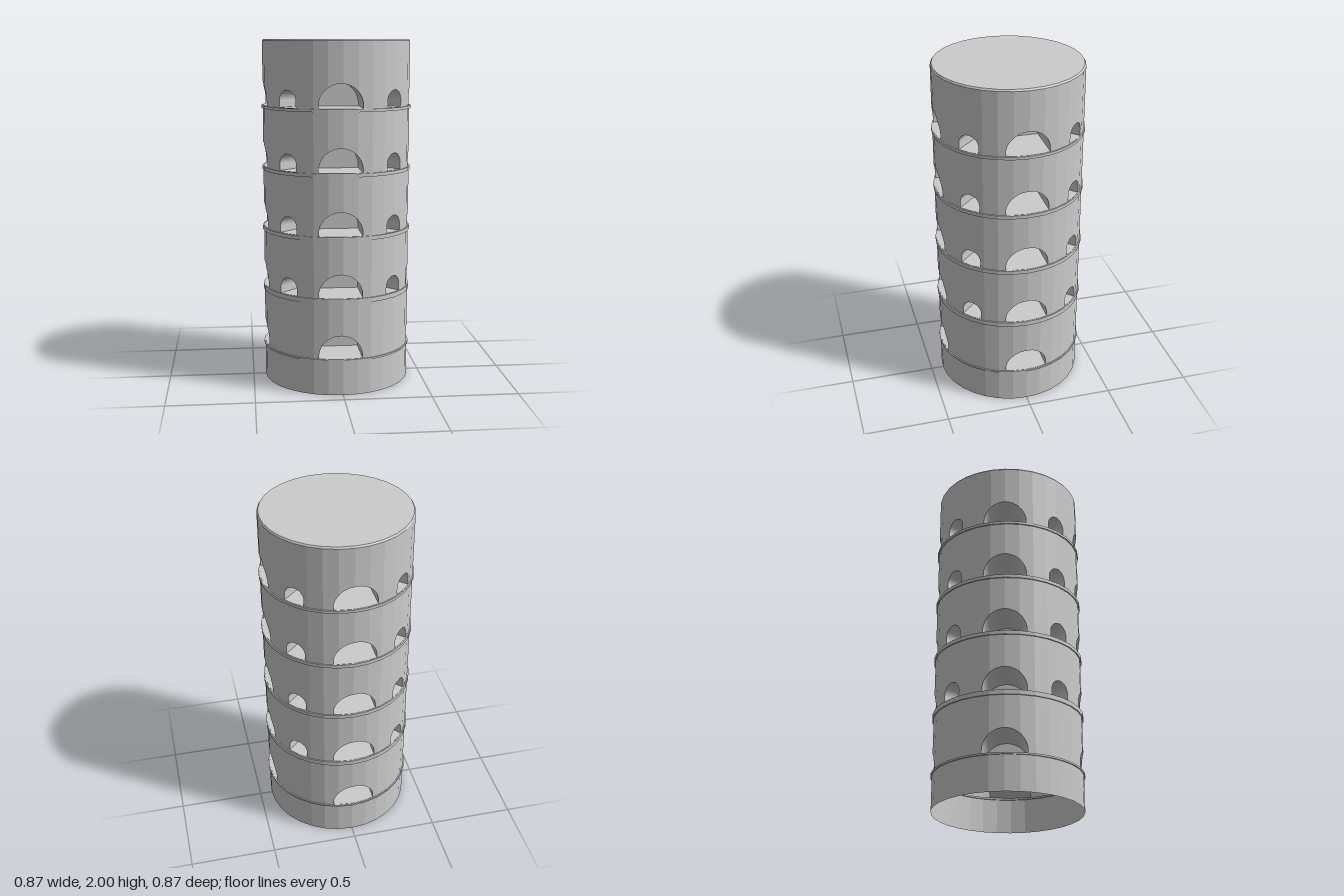
import * as THREE from 'three';

const SIDES = 32, STEP = (Math.PI * 2) / SIDES, R = 0.427, TOP = 1.99;
const FLOORS = [0.212, 0.565, 0.918, 1.272, 1.625];       // sill height of each storey
const RING_BOTTOMS = [0.2, 0.536, 0.894, 1.25, 1.607];
const WIDE = { r: 0.1235, rise: 0.013, depth: 0.17 };     // arch radius, straight jamb, inner end
const SMALL = { r: 0.061, rise: 0.036, depth: 0.25 };

const material = new THREE.MeshStandardMaterial({ color: 0xcccccc, flatShading: true, side: THREE.DoubleSide });

// Point on the 32-sided outline at an angle measured from +z towards +x
function outline(angle) {
  const local = ((angle % STEP) + STEP) % STEP - STEP / 2;
  const r = (R * Math.cos(STEP / 2)) / Math.cos(local);
  return { x: Math.sin(angle) * r, z: Math.cos(angle) * r };
}

// Sorted angles between two limits, including the corners of the outline
function withCorners(angles) {
  const from = angles[0], to = angles[angles.length - 1];
  const all = [...angles];
  for (let k = Math.ceil(from / STEP); k * STEP < to; k++) all.push(k * STEP);
  all.sort((a, b) => a - b);
  return all.filter((a, i) => i === 0 || a - all[i - 1] > 1e-5);
}

function quadMesh(name, quads) {
  const pos = [];
  for (const [a, b, c, d] of quads) for (const p of [a, b, c, a, c, d]) pos.push(...p);
  const geo = new THREE.BufferGeometry();
  geo.setAttribute('position', new THREE.Float32BufferAttribute(pos, 3));
  geo.computeVertexNormals();
  const mesh = new THREE.Mesh(geo, material);
  mesh.name = name;
  return mesh;
}

// Columns across one arch: wall point, matching inner point and opening height
function archColumns(kind, centre, shift) {
  const tx = Math.cos(centre), tz = -Math.sin(centre);
  const dx = Math.sin(centre), dz = Math.cos(centre);
  const angles = [];
  for (let i = 0; i <= 20; i++) {
    const u = -kind.r * Math.cos((Math.PI * i) / 20);
    angles.push(centre + Math.asin((u + shift) / R));
  }
  return withCorners(angles).map((angle) => {
    const outer = outline(angle);
    const lateral = outer.x * tx + outer.z * tz, u = lateral - shift;
    return {
      angle, outer,
      inner: { x: dx * kind.depth + tx * lateral, z: dz * kind.depth + tz * lateral },
      h: kind.rise + Math.sqrt(Math.max(0, kind.r ** 2 - u ** 2)),
    };
  });
}

// Wall strip from the opening height of each column up to y1
function wallQuads(columns, y0, y1) {
  const quads = [];
  for (let i = 0; i + 1 < columns.length; i++) {
    const { outer: a, h: ha } = columns[i], { outer: b, h: hb } = columns[i + 1];
    quads.push([[a.x, y0 + ha, a.z], [b.x, y0 + hb, b.z], [b.x, y1, b.z], [a.x, y1, a.z]]);
  }
  return quads;
}

// Recess behind an arch: floor, vault, end wall and jambs
function recessQuads(columns, y) {
  const quads = [], at = (p, h) => [p.x, y + h, p.z];
  for (let i = 0; i + 1 < columns.length; i++) {
    const a = columns[i], b = columns[i + 1];
    quads.push([at(a.outer, 0), at(b.outer, 0), at(b.inner, 0), at(a.inner, 0)]);
    quads.push([at(a.inner, a.h), at(b.inner, b.h), at(b.outer, b.h), at(a.outer, a.h)]);
    quads.push([at(a.inner, 0), at(b.inner, 0), at(b.inner, b.h), at(a.inner, a.h)]);
  }
  const l = columns[0], r = columns[columns.length - 1];
  quads.push([at(l.outer, 0), at(l.inner, 0), at(l.inner, l.h), at(l.outer, l.h)]);
  quads.push([at(r.inner, 0), at(r.outer, 0), at(r.outer, r.h), at(r.inner, r.h)]);
  return quads;
}

function lathe(name, profile) {
  const mesh = new THREE.Mesh(
    new THREE.LatheGeometry(profile.map(([x, y]) => new THREE.Vector2(x, y)), SIDES), material);
  mesh.name = name;
  return mesh;
}

export function createModel() {
  const model = new THREE.Group();
  model.name = 'archedTower';

  // Plain open base and bevelled lid
  model.add(lathe('base', [[R, 0], [R, FLOORS[0]]]));
  model.add(lathe('lid', [[R, TOP], [R - 0.007, 2], [0, 2]]));

  FLOORS.forEach((y, level) => {
    const storey = new THREE.Group();
    storey.name = `storey${level + 1}`;
    const y1 = FLOORS[level + 1] ?? TOP;

    // Wide arches on the four axes, small ones between them above the first storey
    const arches = [];
    for (let k = 0; k < 8; k++) {
      const wide = k % 2 === 0;
      if (!wide && level === 0) continue;
      const shift = k === 0 ? -0.012 : k === 4 ? 0.012 : 0;
      arches.push({ wide, columns: archColumns(wide ? WIDE : SMALL, (k * Math.PI) / 4, shift) });
    }

    const wall = [];
    arches.forEach(({ wide, columns }, i) => {
      wall.push(...wallQuads(columns, y, y1));
      storey.add(quadMesh(wide ? 'wideRecess' : 'smallRecess', recessQuads(columns, y)));
      // Solid pier up to the next arch
      const next = arches[(i + 1) % arches.length].columns[0].angle + (i + 1 === arches.length ? Math.PI * 2 : 0);
      const pier = withCorners([columns[columns.length - 1].angle, next]);
      wall.push(...wallQuads(pier.map((a) => ({ outer: outline(a), h: 0 })), y, y1));
    });
    storey.add(quadMesh('wall', wall));

    // Thin projecting ring under the sills
    const lo = RING_BOTTOMS[level], hi = y - 0.002;
    storey.add(lathe('ring', [[0.418, lo], [0.434, lo], [0.434, hi], [0.418, hi], [0.418, lo]]));
    model.add(storey);
  });

  return model;
}
